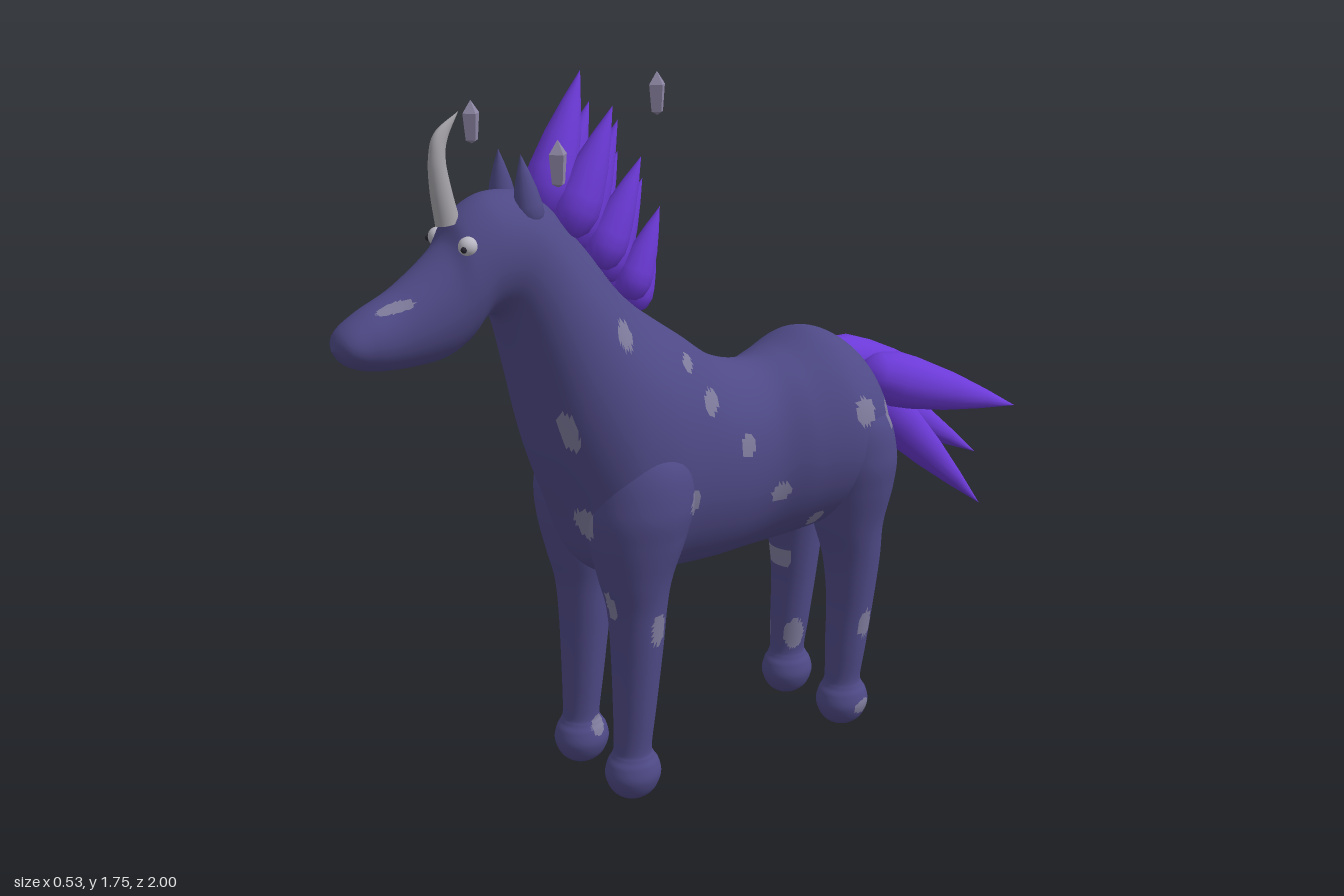
import * as THREE from 'three';

const mat = (name, color) => Object.assign(new THREE.MeshStandardMaterial({ color }), { name });

// Coat spots seen from the side: [side, z, y, half length, half height]
const sideSpots = [
  [-1, .315, .915, .025, .045], [-1, .47, .97, .016, .04], [-1, .195, .81, .028, .034],
  [-1, .28, .71, .024, .034], [-1, -.05, .88, .038, .04], [-1, -.105, .74, .02, .025],
  [-1, -.055, .61, .025, .018], [-1, -.37, .73, .022, .025], [-1, -.325, .19, .025, .045],
  [-1, -.30, .41, .012, .025], [-1, -.425, .44, .012, .03], [-1, .25, 1.11, .026, .02],
  [-1, .415, 1.295, .022, .032], [-1, .88, 1.3, .03, .02], [-1, .62, 1.435, .018, .012],
  [-1, .315, .11, .02, .025], [-1, -.365, .97, .02, .02], [-1, .09, 1.07, .025, .018],
  [1, -.30, .90, .03, .035], [1, -.40, .87, .022, .035], [1, -.36, .30, .022, .04],
  [1, .12, .98, .025, .03], [1, .17, 1.08, .02, .02], [1, .36, 1.18, .022, .032],
  [1, .30, .46, .022, .04], [1, -.08, .72, .025, .025], [1, .2, .76, .025, .03],
  [1, -.2, .62, .02, .025], [1, -.36, .06, .03, .02], [1, .02, .86, .022, .03],
];
// Spots on the chest, foreleg and muzzle: [x, y, half width, half height]
const frontSpots = [[.12, .97, .02, .045], [.09, .725, .03, .04], [.12, .52, .02, .035], [.045, 1.3, .016, .014]];

function inSpot(x, y, z) {
  const wobble = 1 + .15 * Math.sin(60 * y + 45 * z);
  return sideSpots.some(([s, sz, sy, rz, ry]) =>
    s * x > .03 && ((z - sz) / rz) ** 2 + ((y - sy) / ry) ** 2 < wobble)
    || (z > .34 && frontSpots.some(([sx, sy, rx, ry]) =>
      ((x - sx) / rx) ** 2 + ((y - sy) / ry) ** 2 < wobble));
}

// Smooth skin over elliptical sections, each [zA, yA, zB, yB, half width]:
// A and B are opposite ends of the section in the side plane.
function loft(sections, x0, rings, sides, spotted) {
  const curve = (f) => new THREE.CatmullRomCurve3(sections.map(f), false, 'catmullrom', .5);
  const A = curve((s) => new THREE.Vector3(0, s[1], s[0]));
  const B = curve((s) => new THREE.Vector3(0, s[3], s[2]));
  const W = curve((s) => new THREE.Vector3(s[4], 0, 0));
  const pos = [], plain = [], spots = [];
  for (let i = 0; i <= rings; i++) {
    const a = A.getPoint(i / rings), b = B.getPoint(i / rings);
    const w = Math.max(0, W.getPoint(i / rings).x);
    for (let j = 0; j < sides; j++) {
      const t = j / sides * Math.PI * 2, k = (1 + Math.cos(t)) / 2;
      pos.push(x0 + w * Math.sin(t), b.y + (a.y - b.y) * k, b.z + (a.z - b.z) * k);
    }
  }
  const addFace = (...f) => {
    const mid = (c) => f.reduce((sum, v) => sum + pos[v * 3 + c], 0) / 3;
    (spotted && inSpot(mid(0), mid(1), mid(2)) ? spots : plain).push(...f);
  };
  for (let i = 0; i < rings; i++) for (let j = 0; j < sides; j++) {
    const p = i * sides + j, q = i * sides + (j + 1) % sides;
    addFace(p, p + sides, q);
    addFace(q, p + sides, q + sides);
  }
  const g = new THREE.BufferGeometry();
  g.setAttribute('position', new THREE.Float32BufferAttribute(pos, 3));
  g.setIndex([...plain, ...spots]);
  g.addGroup(0, plain.length, 0);
  g.addGroup(plain.length, spots.length, 1);
  g.computeVertexNormals();
  return g;
}

export function createModel() {
  const coat = mat('coat', 0x4f4a87), spot = mat('coat spots', 0x7f7c9d);
  const hair = mat('purple hair', 0x6c3ad8), bone = mat('horn grey', 0xa5a3a9);
  const eyeWhite = mat('eye white', 0xb9b7c2), dark = mat('pupil', 0x26232f);
  const crystalMat = mat('crystal', 0x8f87a6);
  crystalMat.flatShading = true;

  const model = new THREE.Group();
  model.name = 'hornedHorse';
  const horse = new THREE.Group();
  horse.name = 'horse';
  horse.position.x = .01;
  model.add(horse);
  const add = (name, geo, material, parent = horse) => {
    const m = new THREE.Mesh(geo, material);
    m.name = name;
    parent.add(m);
    return m;
  };

  // Torso, neck and head from rump to nose
  add('body', loft([
    [-.466, .81, -.466, .81, 0], [-.46, .88, -.46, .73, .09], [-.43, .97, -.44, .64, .165],
    [-.37, 1.04, -.38, .59, .222], [-.29, 1.07, -.27, .56, .24], [-.18, 1.035, -.16, .545, .212],
    [-.09, 1.02, -.06, .535, .175], [.02, 1.05, .05, .53, .175], [.12, 1.12, .17, .535, .187],
    [.2, 1.175, .30, .545, .213], [.26, 1.22, .40, .60, .21], [.32, 1.28, .455, .73, .193],
    [.38, 1.36, .51, .88, .17], [.44, 1.43, .55, 1.04, .148], [.49, 1.485, .583, 1.17, .128],
    [.55, 1.51, .61, 1.235, .114], [.63, 1.51, .65, 1.235, .107], [.70, 1.47, .69, 1.19, .1],
    [.74, 1.41, .75, 1.16, .09], [.84, 1.335, .84, 1.153, .076], [.93, 1.29, .92, 1.16, .068],
    [.98, 1.255, .972, 1.18, .05], [1, 1.215, 1, 1.215, 0],
  ], 0, 230, 112, true), [coat, spot]);

  // Legs with ball hooves, top to bottom: [y, z, half depth, half width, x]
  const hoof = (z) => [[.14, z, .046, .048, .116], [.115, z, .052, .052, .116], [.095, z, .064, .061, .116],
    [.062, z, .07, .066, .116], [.025, z, .055, .052, .116], [.004, z, .028, .026, .116], [0, z, 0, 0, .116]];
  const legs = {
    foreleg: [[.98, .28, 0, 0, .1], [.88, .29, .1, .1, .1], [.77, .3, .13, .124, .11], [.68, .31, .12, .112, .12],
      [.58, .318, .09, .09, .12], [.5, .315, .072, .076, .116], [.4, .316, .062, .069, .116],
      [.24, .325, .051, .057, .118], ...hoof(.332)],
    hindLeg: [[.98, -.31, 0, 0, .1], [.88, -.32, .1, .11, .1], [.77, -.335, .124, .13, .112], [.68, -.342, .115, .118, .12],
      [.57, -.345, .09, .092, .12], [.47, -.358, .073, .077, .118], [.35, -.357, .058, .066, .118],
      [.22, -.345, .05, .057, .118], ...hoof(-.338)],
  };
  for (const [name, rows] of Object.entries(legs)) for (const s of [1, -1]) {
    // Keep the half width and centre line together while mirroring
    const geo = loft(rows.map(([y, z, rz, rx]) => [z + rz, y, z - rz, y, rx]), s * .117, 100, 44, true);
    add((s > 0 ? 'left ' : 'right ') + name, geo, [coat, spot]);
  }

  // Curved horn
  add('horn', loft([
    [.685, 1.46, .74, 1.45, .026], [.702, 1.53, .75, 1.53, .023], [.712, 1.59, .75, 1.6, .018],
    [.705, 1.635, .733, 1.652, .011], [.675, 1.692, .675, 1.692, 0],
  ], 0, 30, 20, false), [bone, bone]);

  // Teardrop spike from a rounded root to a sharp tip
  const drop = new THREE.LatheGeometry([[0, 0], [.5, .02], [.82, .08], [1, .2], [.95, .32], [.72, .55], [.38, .78], [0, 1]]
    .map(([r, y]) => new THREE.Vector2(r, y)), 14);
  const spike = (name, from, to, r, material, parent) => {
    const a = new THREE.Vector3(...from), d = new THREE.Vector3(...to).sub(a);
    const m = add(name, drop, material, parent);
    m.position.copy(a);
    m.scale.set(r, d.length(), r);
    m.quaternion.setFromUnitVectors(new THREE.Vector3(0, 1, 0), d.normalize());
  };

  // Mane: single spikes alternating with pairs down the neck
  const mane = new THREE.Group();
  mane.name = 'mane';
  horse.add(mane);
  const tips = [[1.755, .355], [1.68, .315], [1.64, .27], [1.56, .24], [1.5, .205], [1.44, .19], [1.38, .17]];
  tips.forEach(([y, z], i) => {
    const k = i / 6, by = 1.44 - .25 * k, bz = .48 - .24 * k;
    for (const x of i % 2 ? [-.04, .04] : [0])
      spike('mane spike', [x, by, bz], [x * 1.2 - (i ? 0 : .02), y, z], .058 - .018 * k, hair, mane);
  });

  // Tail: fanned spikes
  const tail = new THREE.Group();
  tail.name = 'tail';
  horse.add(tail);
  [[[-.085, .95, -.41], [-.2, .79, -.95], .072], [[-.045, .92, -.42], [-.09, .57, -1], .066],
    [[.045, .92, -.42], [.07, .49, -.865], .064], [[.085, .95, -.41], [.18, .8, -.87], .072],
    [[0, .93, -.42], [.005, .71, -.715], .06],
  ].forEach(([a, b, r]) => spike('tail spike', a, b, r, hair, tail));

  // Ears and eyes
  for (const s of [1, -1]) {
    const side = s > 0 ? 'left ' : 'right ';
    spike(side + 'ear', [s * .06, 1.43, .54], [s * .048, 1.595, .555], .034, coat, horse);
    const eye = add(side + 'eye', new THREE.SphereGeometry(.022, 20, 14), eyeWhite);
    eye.position.set(s * .068, 1.413, .702);
    const pupil = add(side + 'pupil', new THREE.SphereGeometry(.007, 12, 8), dark);
    pupil.position.set(s * .08, 1.41, .719);
  }

  // Floating crystals
  const crystal = new THREE.LatheGeometry([[0, -.05], [.016, -.042], [.022, .02], [0, .05]]
    .map(([r, y]) => new THREE.Vector2(r, y)), 4);
  [[-.245, 1.625, .505], [.24, 1.6, .572], [.005, 1.69, .158]].forEach((p) =>
    add('floating crystal', crystal, crystalMat, model).position.set(...p));

  return model;
}
